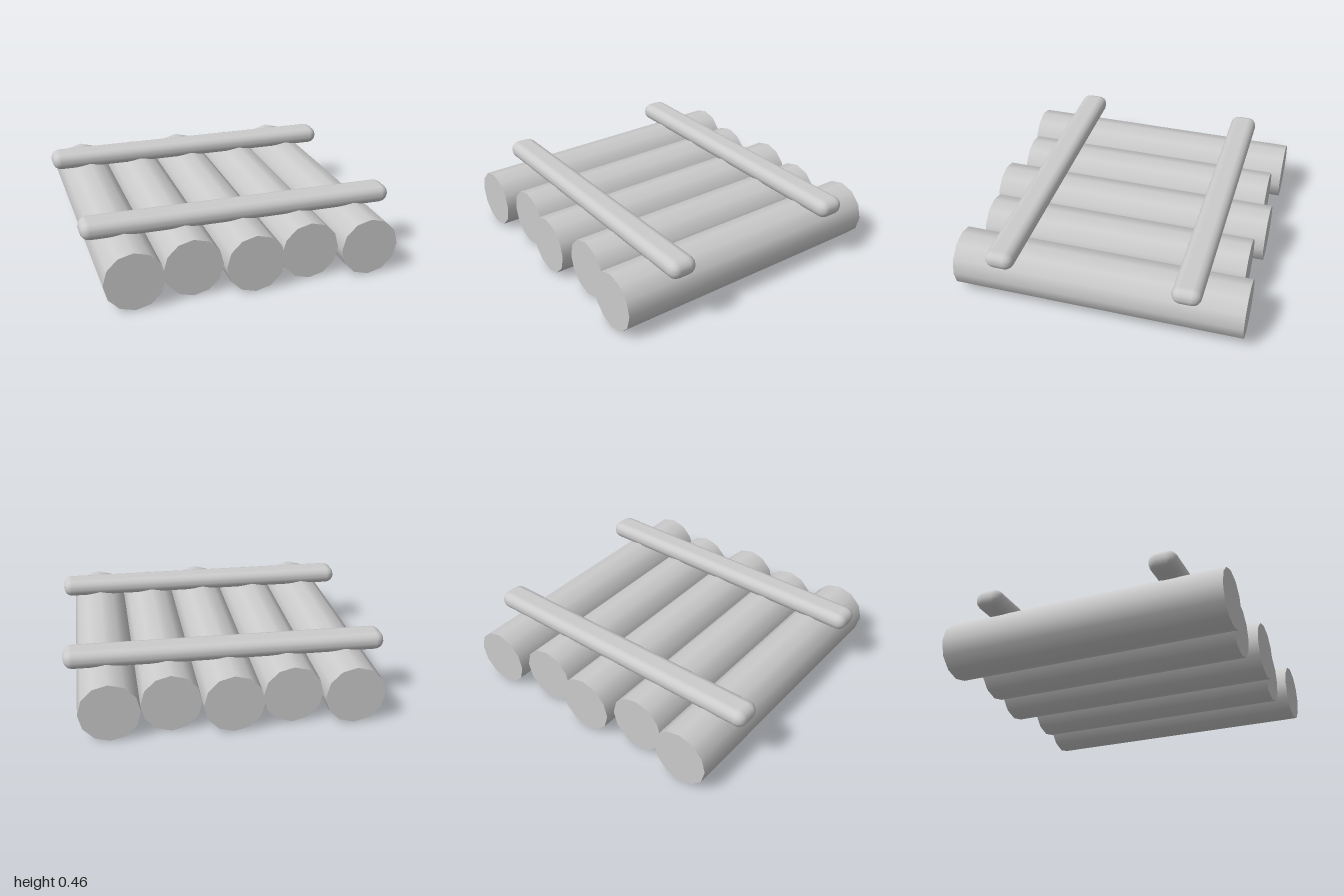
import * as THREE from 'three';
import { RoundedBoxGeometry } from 'three/addons/geometries/RoundedBoxGeometry.js';

export function createModel() {
  const raft = new THREE.Group();
  raft.name = 'logRaft';
  const material = new THREE.MeshStandardMaterial({ color: 0xcccccc });
  const radius = 0.186;

  // Five logs side by side, alternating long and short
  for (let i = -2; i <= 2; i++) {
    const length = i % 2 === 0 ? 1.856 : 1.734;
    const geometry = new THREE.CylinderGeometry(radius, radius, length, 12).rotateX(Math.PI / 2);
    const log = new THREE.Mesh(geometry, material);
    log.name = `log${i + 3}`;
    log.position.set(i * radius * 2, radius, 0);
    raft.add(log);
  }

  // Two rounded crossbars lying over the logs
  for (const side of [-1, 1]) {
    const bar = new THREE.Mesh(new RoundedBoxGeometry(2, 0.117, 0.182, 2, 0.056), material);
    bar.name = side > 0 ? 'frontCrossbar' : 'backCrossbar';
    bar.position.set(0, 0.399, side * 0.582);
    raft.add(bar);
  }
  return raft;
}
